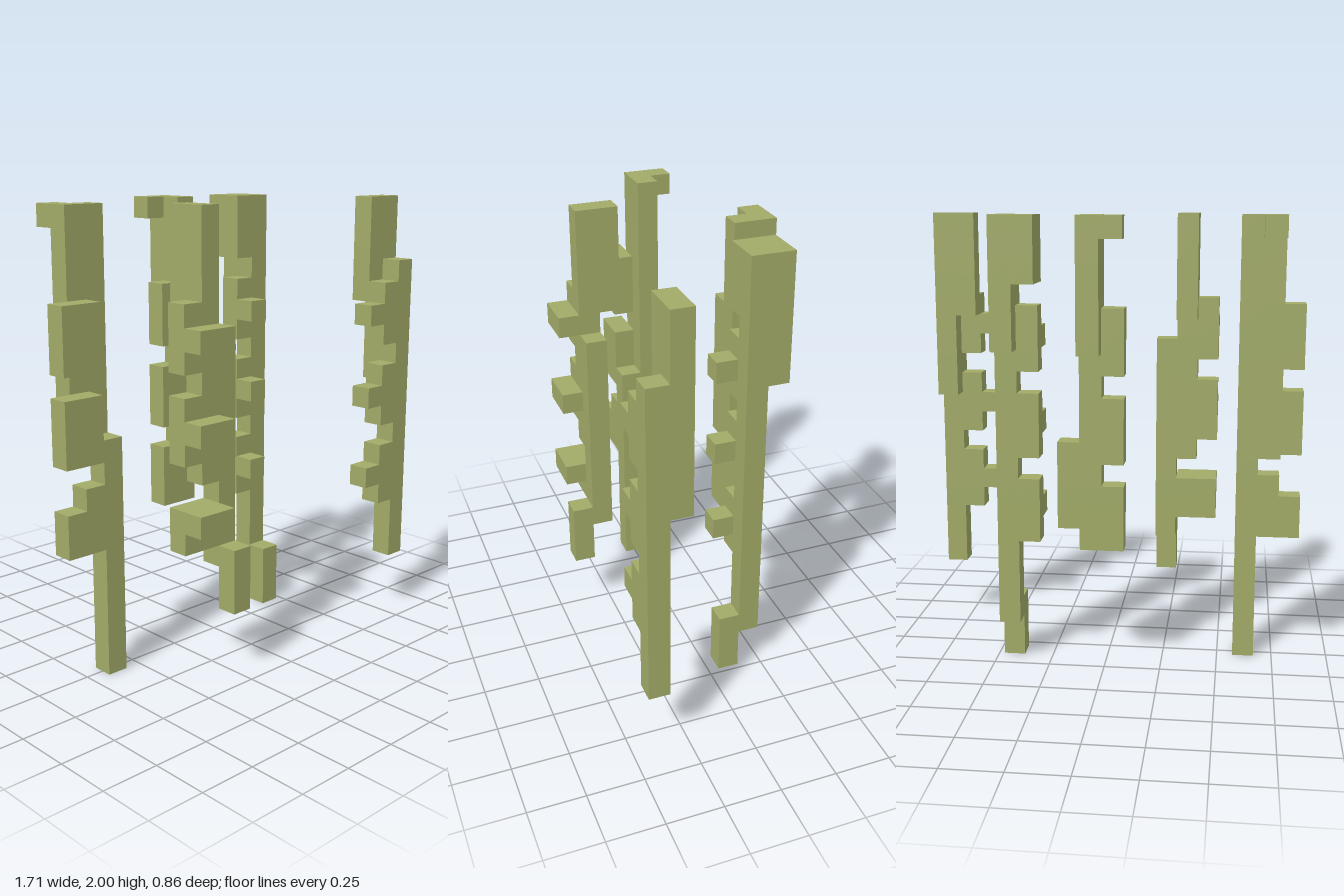
import * as THREE from 'three';

const U = 2 / 21; // one block; the model spans 18 x 21 x 9 blocks

// Each strand is a list of blocks: [x0, x1, y0, y1, z0, z1] in grid units
const strands = {
  outerRightStrand: [
    [1, 3, 10, 21, 3, 4], [1, 2, 20, 21, 2, 3], [2, 3, 0, 11, 4, 5],
    [0, 2, 14, 17, 4, 5], [0, 2, 10, 13, 4, 5], [0, 2, 6, 8, 4, 5], [1, 2, 8, 9, 4, 5],
  ],
  frontRightStrand: [
    [5, 6, 16, 21, 6, 7], [5, 6, 9, 21, 7, 8], [6, 7, 5, 15, 7, 8], [6, 7, 3, 6, 8, 9],
    [4, 5, 14, 17, 7, 8], [4, 5, 10, 13, 7, 8], [4, 6, 6, 8, 7, 8],
    ...[7, 11, 15].map((y) => [4, 6, y, y + 1, 8, 9]),
  ],
  backStrand: [
    [9, 10, 15, 21, 0, 1], [8, 9, 20, 21, 0, 1], [9, 10, 6, 21, 1, 2], [10, 11, 7, 11, 1, 2],
    ...[6, 10, 14].map((y) => [8, 9, y, y + 3, 1, 2]),
  ],
  innerLeftStrand: [
    [13, 14, 15, 21, 1, 2], [12, 13, 18, 21, 1, 3], [13, 14, 2, 21, 2, 3], [13, 14, 0, 3, 3, 4],
    ...[6, 10, 14].map((y) => [12, 13, y, y + 3, 2, 3]),
    ...[7, 11, 15].map((y) => [12, 13, y, y + 1, 3, 4]),
  ],
  outerLeftStrand: [
    [17, 18, 12, 21, 7, 8], [16, 17, 16, 21, 7, 8], [17, 18, 3, 18, 8, 9],
    ...[6, 10, 14].map((y) => [16, 17, y, y + 3, 8, 9]),
    ...[7, 11, 15].map((y) => [15, 16, y, y + 1, 8, 9]),
  ],
};

// Joins the blocks into one shell, keeping only the exposed faces
function shell(blocks) {
  const cells = new Map();
  const key = (c) => c.join();
  for (const [x0, x1, y0, y1, z0, z1] of blocks)
    for (let x = x0; x < x1; x++)
      for (let y = y0; y < y1; y++)
        for (let z = z0; z < z1; z++) cells.set(key([x, y, z]), [x, y, z]);

  const pos = [], nor = [];
  for (const c of cells.values())
    for (let a = 0; a < 3; a++)
      for (const s of [-1, 1]) {
        const next = [...c];
        next[a] += s;
        if (cells.has(key(next))) continue;
        const u = (a + 1) % 3, v = (a + 2) % 3;
        const corner = (i, j) => {
          const p = [...c];
          if (s > 0) p[a] += 1;
          p[u] += i;
          p[v] += j;
          return [(p[0] - 9) * U, p[1] * U, (p[2] - 4.5) * U];
        };
        const q = [corner(0, 0), corner(1, 0), corner(1, 1), corner(0, 1)];
        if (s < 0) q.reverse();
        const n = [0, 0, 0];
        n[a] = s;
        for (const i of [0, 1, 2, 0, 2, 3]) {
          pos.push(...q[i]);
          nor.push(...n);
        }
      }
  const g = new THREE.BufferGeometry();
  g.setAttribute('position', new THREE.Float32BufferAttribute(pos, 3));
  g.setAttribute('normal', new THREE.Float32BufferAttribute(nor, 3));
  return g;
}

export function createModel() {
  const group = new THREE.Group();
  group.name = 'hangingVines';
  const green = new THREE.MeshStandardMaterial({ color: 0xa2ab68 });
  green.name = 'mossGreen';
  for (const [name, blocks] of Object.entries(strands)) {
    const mesh = new THREE.Mesh(shell(blocks), green);
    mesh.name = name;
    group.add(mesh);
  }
  return group;
}
